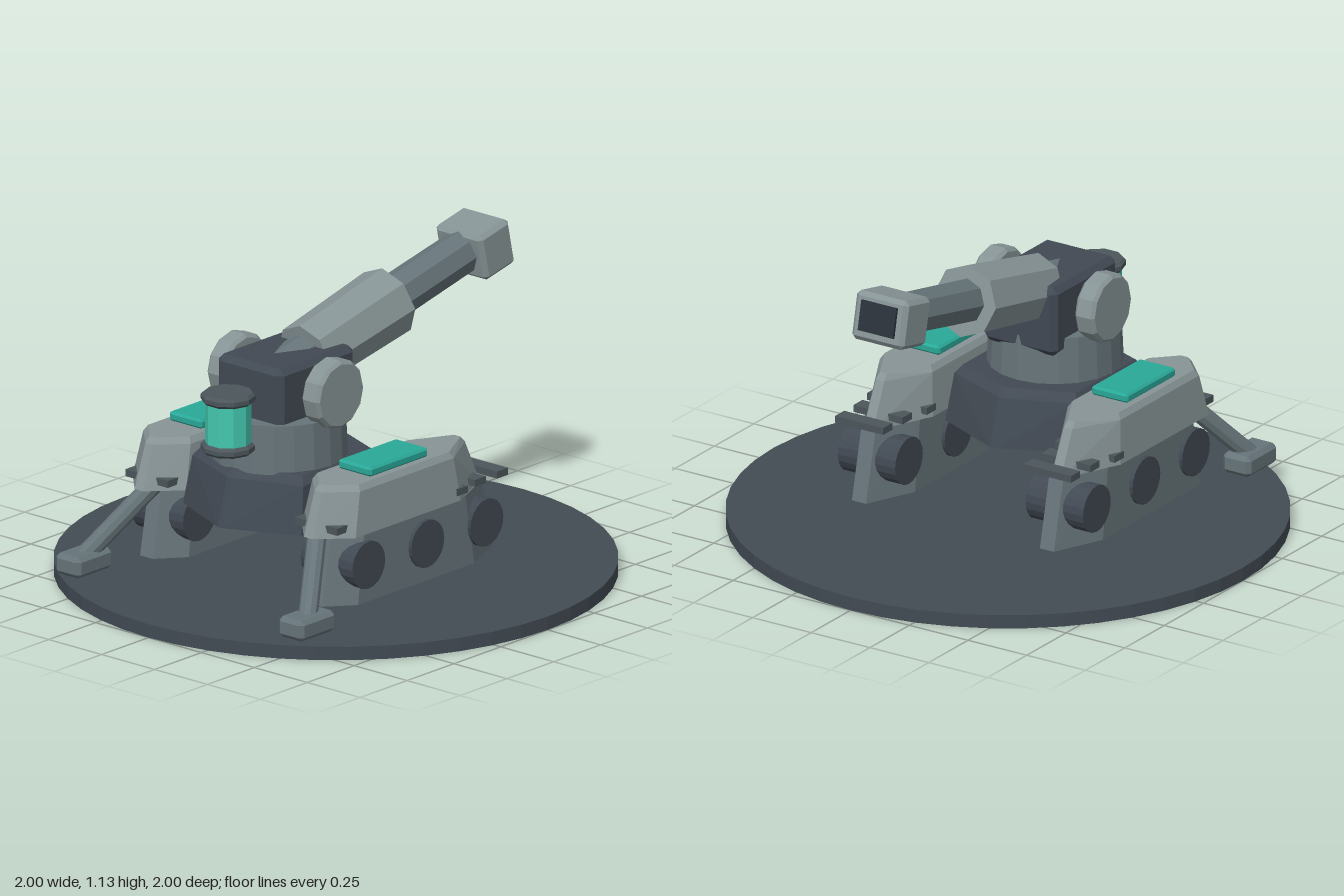
import * as THREE from 'three';
import { ConvexGeometry } from 'three/addons/geometries/ConvexGeometry.js';

function paint(name, color) {
  const m = new THREE.MeshStandardMaterial({ color });
  m.name = name;
  m.flatShading = true;
  return m;
}

// Eight-cornered outline at height y: blunt tips at x0 and x3, full width from x1 to x2
function outline(y, x0, x1, x2, x3, halfZ, tip) {
  const pts = [];
  for (const s of [-1, 1]) {
    for (const [x, z] of [[x0, tip], [x1, halfZ], [x2, halfZ], [x3, tip]]) {
      pts.push(new THREE.Vector3(x, y, s * z));
    }
  }
  return pts;
}

// Box with cut edges
function chamferBox(w, h, d, c) {
  const pts = [];
  for (const i of [-1, 1]) for (const j of [-1, 1]) for (const k of [-1, 1]) {
    const x = i * w / 2, y = j * h / 2, z = k * d / 2;
    pts.push(new THREE.Vector3(x, y - j * c, z - k * c));
    pts.push(new THREE.Vector3(x - i * c, y, z - k * c));
    pts.push(new THREE.Vector3(x - i * c, y - j * c, z));
  }
  return new ConvexGeometry(pts);
}

// Cylinder with cut rims, axis along y
function chamferDrum(r, h, c, sides) {
  return new THREE.LatheGeometry([
    new THREE.Vector2(0, -h / 2), new THREE.Vector2(r - c, -h / 2),
    new THREE.Vector2(r, -h / 2 + c), new THREE.Vector2(r, h / 2 - c),
    new THREE.Vector2(r - c, h / 2), new THREE.Vector2(0, h / 2),
  ], sides);
}

export function createModel() {
  const slate = paint('slate ground', 0x424b54);
  const dark = paint('dark hull', 0x414953);
  const mid = paint('mid grey', 0x667479);
  const light = paint('light armour', 0x879496);
  const black = paint('dark bore', 0x2c323a);
  const steel = paint('dark steel', 0x4c565b);
  const teal = paint('teal panel', 0x2aa898);
  const glow = paint('bright teal', 0x45c8b0);

  const root = new THREE.Group();
  root.name = 'fieldCannon';
  function add(parent, name, geo, mat, x = 0, y = 0, z = 0) {
    const mesh = new THREE.Mesh(geo, mat);
    mesh.name = name;
    mesh.position.set(x, y, z);
    parent.add(mesh);
    return mesh;
  }

  // Ground disc
  add(root, 'baseDisc', new THREE.CylinderGeometry(1, 1, 0.05, 48), slate, 0, 0.025, 0);

  // Central chassis and turning ring
  add(root, 'chassis', new ConvexGeometry([
    ...outline(0.315, -0.62, -0.5, -0.02, 0.1, 0.28, 0.01),
    ...outline(0.49, -0.57, -0.47, -0.05, 0.05, 0.262, 0.01),
    ...outline(0.52, -0.54, -0.45, -0.07, 0.02, 0.24, 0.01),
  ]), dark);
  add(root, 'turretRing', new THREE.CylinderGeometry(0.235, 0.243, 0.18, 20), mid, -0.3, 0.6, 0);
  add(root, 'turretBlock', chamferBox(0.405, 0.26, 0.31, 0.022), dark, -0.268, 0.762, 0);

  // Track pods, one each side
  for (const s of [-1, 1]) {
    const pod = new THREE.Group();
    pod.name = s > 0 ? 'frontTrackPod' : 'rearTrackPod';
    pod.position.z = s * 0.4;
    root.add(pod);
    add(pod, 'trackBody', new ConvexGeometry([
      ...outline(0.1, -0.56, -0.46, 0.16, 0.35, 0.112, 0.03),
      ...outline(0.36, -0.51, -0.42, 0.12, 0.29, 0.106, 0.03),
    ]), mid);
    add(pod, 'podArmour', new ConvexGeometry([
      ...outline(0.36, -0.6, -0.49, 0.07, 0.29, 0.127, 0.02),
      ...outline(0.52, -0.545, -0.45, 0.05, 0.215, 0.112, 0.018),
      ...outline(0.542, -0.525, -0.44, 0.04, 0.195, 0.098, 0.015),
    ]), light);
    add(pod, 'topPanel', chamferBox(0.31, 0.035, 0.155, 0.008), teal, -0.2, 0.558, 0);
    for (const x of [-0.415, -0.1, 0.215]) {
      add(pod, 'wheel', new THREE.CylinderGeometry(0.088, 0.088, 0.245, 20), dark, x, 0.24, 0)
        .rotation.x = Math.PI / 2;
    }
    // Cross bars
    for (const [x, w] of [[-0.53, 0.2], [0.08, 0.255], [0.2, 0.21], [0.32, 0.205]]) {
      add(pod, 'crossBar', new THREE.BoxGeometry(0.058, 0.026, w), steel, x, 0.393, 0);
    }

    // Stabiliser leg and foot
    const a = new THREE.Vector3(-0.51, 0.40, s * 0.37);
    const b = new THREE.Vector3(-0.75, 0.12, s * 0.53);
    const strut = add(root, 'stabiliserLeg',
      new THREE.CylinderGeometry(0.035, 0.035, a.distanceTo(b), 10), mid);
    strut.position.copy(a).lerp(b, 0.5);
    strut.quaternion.setFromUnitVectors(new THREE.Vector3(0, 1, 0), a.clone().sub(b).normalize());
    add(root, 'stabiliserFoot', chamferBox(0.19, 0.078, 0.118, 0.016), mid, -0.75, 0.108, s * 0.527);

    // Trunnion disc beside the turret block
    const disc = add(root, 'trunnionDisc', chamferDrum(0.127, 0.083, 0.012, 12), light, -0.27, 0.78, s * 0.224);
    disc.rotation.x = Math.PI / 2;
    add(root, 'trunnionHub', new THREE.CylinderGeometry(0.07, 0.07, 0.06, 12), steel, -0.27, 0.78, s * 0.165)
      .rotation.x = Math.PI / 2;
  }

  // Canister behind the turret
  add(root, 'canister', new THREE.CylinderGeometry(0.083, 0.083, 0.17, 10), glow, -0.575, 0.7, 0);
  for (const y of [0.607, 0.792]) {
    add(root, 'canisterCap', chamferDrum(0.098, 0.036, 0.01, 10), steel, -0.575, y, 0);
  }

  // Tilted gun, built along its own x axis
  const gun = new THREE.Group();
  gun.name = 'gun';
  gun.position.set(-0.168, 0.84, 0);
  gun.rotation.z = 0.212;
  root.add(gun);
  function tube(name, r0, r1, x0, x1, mat) {
    const geo = new THREE.CylinderGeometry(r1, r0, x1 - x0, 8);
    geo.rotateZ(-Math.PI / 2);
    add(gun, name, geo, mat, (x0 + x1) / 2, 0, 0);
  }
  tube('barrel', 0.085, 0.08, -0.15, 0.9, mid);
  tube('barrelSleeve', 0.122, 0.132, 0, 0.452, light);
  add(gun, 'muzzleBlock', chamferBox(0.165, 0.178, 0.222, 0.016), light, 0.93, -0.005, 0);
  add(gun, 'muzzleBore', new THREE.BoxGeometry(0.03, 0.11, 0.15), black, 1.008, 0, 0);

  return root;
}
